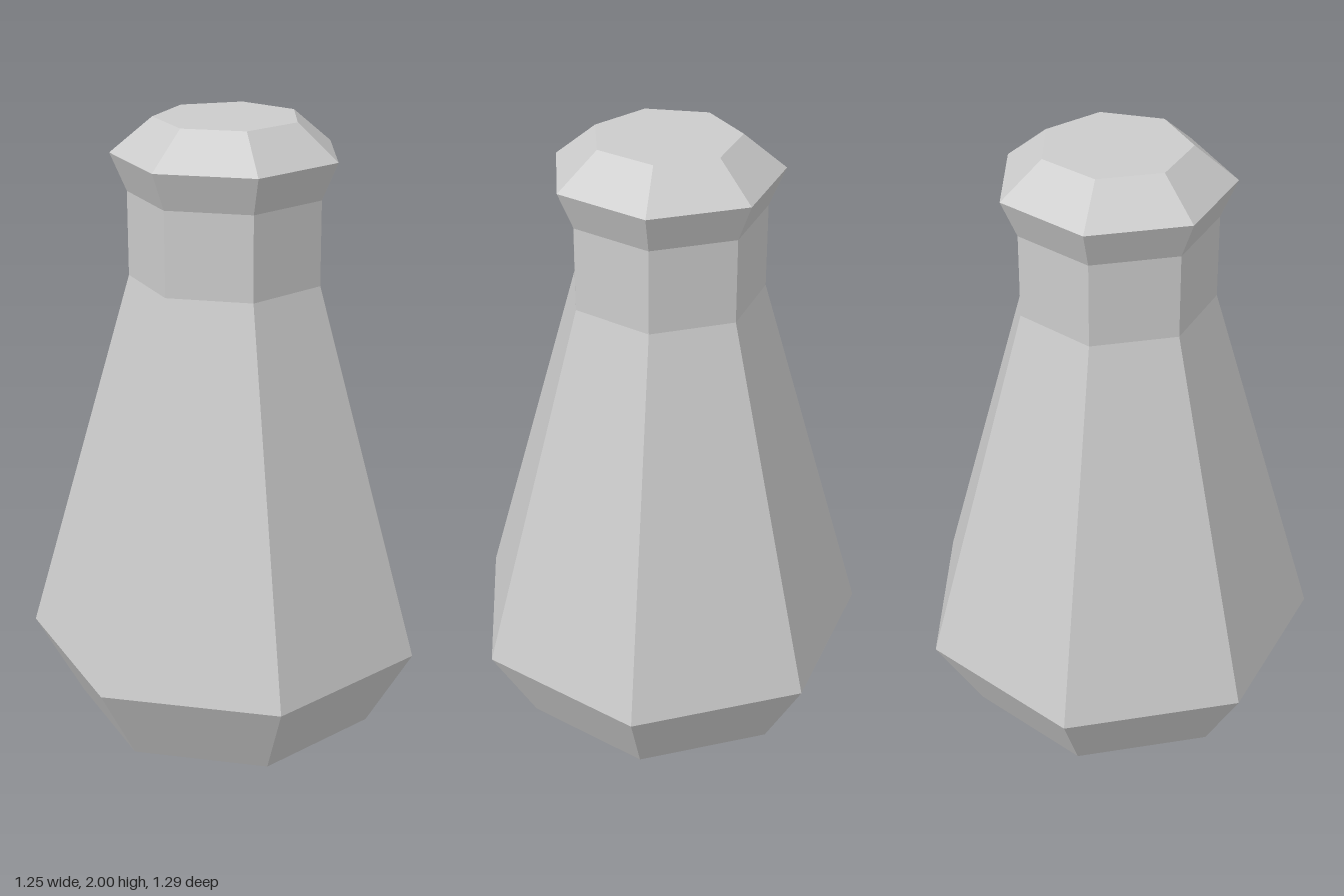
import * as THREE from 'three';

const SIDES = 7;
const material = new THREE.MeshStandardMaterial({ color: 0xcccccc, flatShading: true });

// Seven-sided shell from [radius, height] pairs, bottom to top, one corner on +x
function ringPart(name, profile) {
  const points = profile.map(([r, y]) => new THREE.Vector2(r, y));
  const mesh = new THREE.Mesh(new THREE.LatheGeometry(points, SIDES, Math.PI / 2), material);
  mesh.name = name;
  return mesh;
}

export function createModel() {
  const group = new THREE.Group();
  group.name = 'bottle';
  group.add(
    // closed underside and flared foot
    ringPart('base', [[0, 0], [0.506, 0], [0.66, 0.28]]),
    // long tapering body
    ringPart('body', [[0.66, 0.28], [0.312, 1.5]]),
    // straight neck
    ringPart('neck', [[0.312, 1.5], [0.312, 1.77]]),
    // flared lip with bevelled, closed top
    ringPart('cap', [[0.312, 1.77], [0.363, 1.89], [0.23, 2], [0, 2]])
  );
  // a heptagon's bounds are off its axis, so shift to centre them
  for (const part of group.children) part.position.x = -0.033;
  return group;
}
